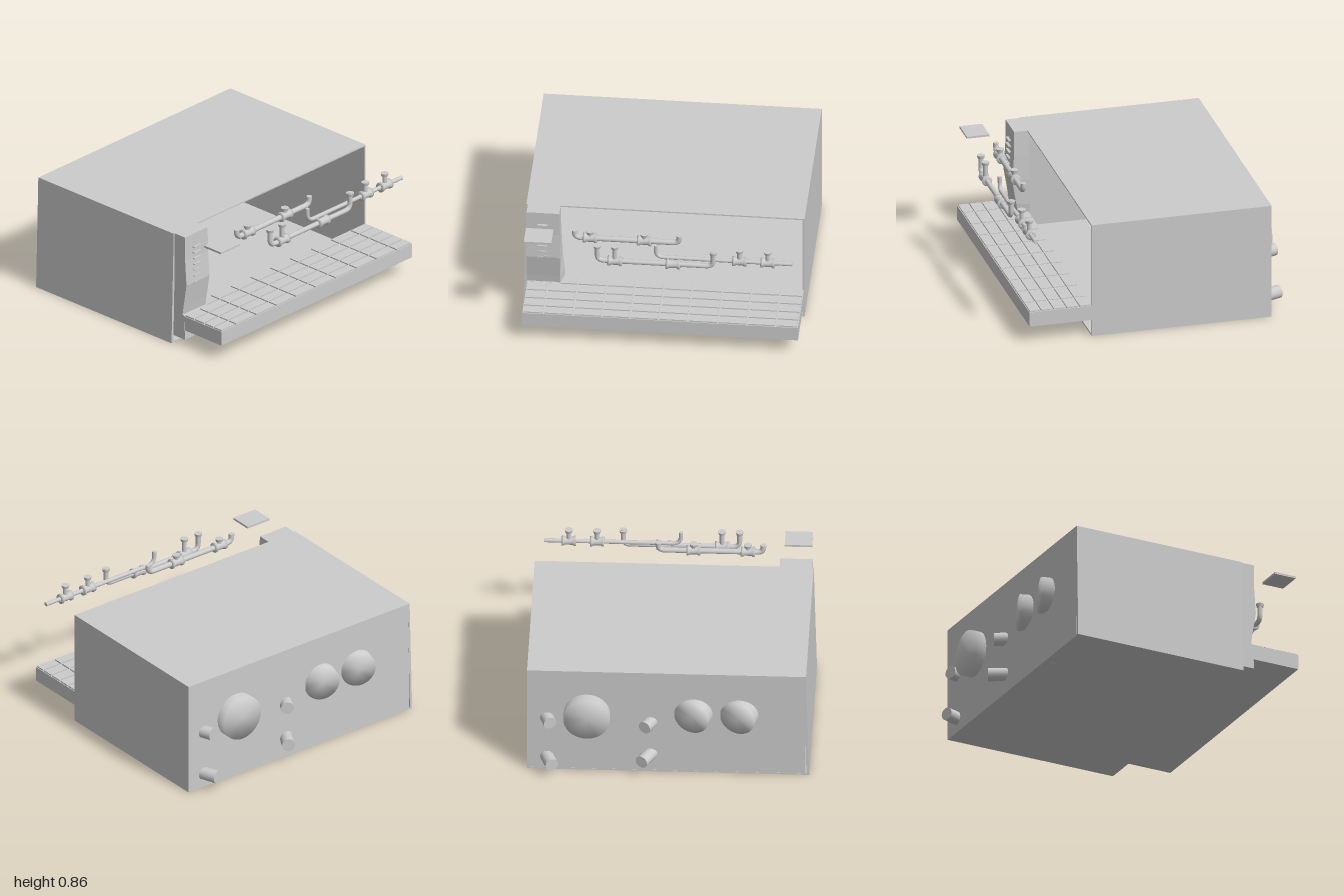
import * as THREE from 'three';

const grey = new THREE.MeshStandardMaterial({ color: 0xcccccc, side: THREE.DoubleSide });
const V = (x, y, z) => new THREE.Vector3(x, y, z);

function add(parent, name, geometry, x = 0, y = 0, z = 0) {
  const mesh = new THREE.Mesh(geometry, grey);
  mesh.name = name;
  mesh.position.set(x, y, z);
  parent.add(mesh);
  return mesh;
}

// Box given by its limits on each axis
function block(parent, name, x0, x1, y0, y1, z0, z1) {
  return add(parent, name, new THREE.BoxGeometry(x1 - x0, y1 - y0, z1 - z0),
    (x0 + x1) / 2, (y0 + y1) / 2, (z0 + z1) / 2);
}

// Lathe from [radius, height] pairs
const lathe = (pts, sides = 32) =>
  new THREE.LatheGeometry(pts.map(([r, h]) => new THREE.Vector2(r, h)), sides);

// Capped tube through points with rounded corners
function pipe(parent, name, pts, radius, bend) {
  const path = new THREE.CurvePath();
  let last = pts[0];
  for (let i = 1; i < pts.length - 1; i++) {
    const p = pts[i];
    const before = p.clone().add(pts[i - 1].clone().sub(p).setLength(bend));
    const after = p.clone().add(pts[i + 1].clone().sub(p).setLength(bend));
    path.add(new THREE.LineCurve3(last, before));
    path.add(new THREE.QuadraticBezierCurve3(before, p, after));
    last = after;
  }
  path.add(new THREE.LineCurve3(last, pts[pts.length - 1]));
  add(parent, name, new THREE.TubeGeometry(path, 90, radius, 16));
  for (const [end, inner] of [[pts[0], pts[1]], [pts.at(-1), pts.at(-2)]]) {
    const cap = add(parent, name + 'End', new THREE.CircleGeometry(radius, 16), end.x, end.y, end.z);
    cap.lookAt(end.clone().multiplyScalar(2).sub(inner));
  }
}

// Vent drum with its open front at z = 0, a rim and a barred grille
function vent(parent, x, y, z, r, inner, length, turn) {
  const g = new THREE.Group();
  g.name = 'ventFan';
  g.position.set(x, y, z);
  g.rotation.y = turn;
  parent.add(g);
  const parts = {
    ventDrum: [[0, -length], [r, -length], [r, 0]],
    ventRim: [[r, 0], [r - 0.008, 0.006], [inner, 0.006]],
    ventBore: [[inner, 0.006], [inner, 0.02 - length]],
    ventBack: [[inner, 0.02 - length], [0, 0.02 - length]],
  };
  for (const name in parts) add(g, name, lathe(parts[name], 40)).rotation.x = Math.PI / 2;
  for (const f of [-0.6, -0.2, 0.2, 0.6]) {
    const len = 2 * inner * Math.sqrt(1 - f * f);
    add(g, 'grilleBar', new THREE.BoxGeometry(0.01, len, 0.012), f * inner, 0, -0.012);
    add(g, 'grilleBar', new THREE.BoxGeometry(len, 0.01, 0.012), 0, f * inner, -0.012);
  }
}

// Valve body along x, with an optional upright stub and flange
function valve(parent, x, y, z, top) {
  const body = lathe([[0.018, -0.05], [0.037, -0.05], [0.037, -0.036], [0.029, -0.025],
    [0.029, 0.025], [0.037, 0.036], [0.037, 0.05], [0.018, 0.05]], 16);
  add(parent, 'valveBody', body, x, y, z).rotation.z = Math.PI / 2;
  if (!top) return;
  add(parent, 'valveStem', new THREE.CylinderGeometry(0.017, 0.017, top - y, 16), x, (top + y) / 2, z);
  flange(parent, x, top - 0.01, z);
}

function flange(parent, x, y, z) {
  add(parent, 'pipeFlange', new THREE.CylinderGeometry(0.029, 0.024, 0.022, 16), x, y, z);
}

export function createModel() {
  const model = new THREE.Group();
  model.name = 'serviceRoom';

  // Room shell, open at the front, left wall leaning slightly
  const outline = new THREE.Shape([[-1, 0], [1, 0], [1, 0.855], [-0.977, 0.855]]
    .map(([x, y]) => new THREE.Vector2(x, y)));
  outline.holes.push(new THREE.Path([[-0.98, 0.012], [-0.962, 0.845], [0.985, 0.845], [0.985, 0.012]]
    .map(([x, y]) => new THREE.Vector2(x, y))));
  add(model, 'roomShell', new THREE.ExtrudeGeometry(outline, { depth: 1.32, bevelEnabled: false }), 0, 0, -0.83);
  block(model, 'backWall', -0.972, 0.99, 0.005, 0.85, -0.829, -0.815);
  block(model, 'wallSkirting', -0.97, 0.985, 0.25, 0.28, -0.815, -0.805);

  // Walkway slab with raised tiles
  const deck = new THREE.Group();
  deck.name = 'walkway';
  model.add(deck);
  block(deck, 'walkwaySlab', -0.965, 0.995, 0.122, 0.23, 0.485, 0.945);
  const columns = [-0.965, -0.815, -0.605, -0.4, -0.2, 0.005, 0.21, 0.425, 0.63, 0.835, 0.995];
  const rows = [0.49, 0.58, 0.675, 0.77, 0.862, 0.945];
  for (let i = 0; i < columns.length - 1; i++) {
    for (let j = 0; j < rows.length - 1; j++) {
      block(deck, 'walkwayTile', columns[i] + 0.006, columns[i + 1] - 0.006,
        0.228, 0.24, rows[j] + 0.006, rows[j + 1] - 0.006);
    }
  }

  // Pillar: a box whose front and inner side bulge with height
  const levels = [[0.05, 0.59, -0.73], [0.235, 0.585, -0.73], [0.24, 0.567, -0.705], [0.3, 0.575, -0.705],
    [0.48, 0.605, -0.722], [0.67, 0.592, -0.73], [0.855, 0.59, -0.735]];
  const pillar = new THREE.BoxGeometry(1, 1, 1, 1, levels.length - 1, 1).toNonIndexed();
  const pos = pillar.attributes.position;
  for (let i = 0; i < pos.count; i++) {
    const [y, front, side] = levels[Math.round((pos.getY(i) + 0.5) * (levels.length - 1))];
    const isFront = pos.getZ(i) > 0;
    const right = isFront ? Math.min(side, -0.73) : side;
    pos.setXYZ(i, pos.getX(i) > 0 ? right : -0.967, y, isFront ? front : 0.48);
  }
  pillar.computeVertexNormals();
  add(model, 'pillar', pillar);
  for (let i = 0; i < 7; i++) {
    const slot = add(model, 'pillarLouvre', new THREE.BoxGeometry(0.072, 0.008, 0.03), -0.853, 0.485 + i * 0.045, 0.595);
    slot.rotation.z = i === 0 ? 0.2 : 0;
  }

  // Floating plate above the walkway
  block(model, 'overheadPlate', -0.955, -0.76, 0.832, 0.847, 0.765, 0.93);

  // Vent drums through the back wall
  vent(model, -0.565, 0.505, -0.64, 0.13, 0.1, 0.24, -0.315);
  vent(model, -0.24, 0.505, -0.64, 0.13, 0.1, 0.24, -0.315);
  vent(model, 0.575, 0.49, -0.76, 0.165, 0.128, 0.145, 0);

  // Wall pipes: out of the wall, down, and back through it
  for (const [x, dx, high, low] of [[0.095, 0.09, 0.425, 0.15], [0.88, -0.06, 0.445, 0.108]]) {
    pipe(model, 'wallPipe', [V(x + dx * 0.78, high, -0.895), V(x, high, -0.768),
      V(x, low, -0.768), V(x + dx, low, -0.932)], 0.047, 0.06);
  }

  // Overhead pipe runs with valves
  const runs = new THREE.Group();
  runs.name = 'overheadPipes';
  model.add(runs);
  pipe(runs, 'rearPipe', [V(-0.61, 0.847, 0.757), V(-0.61, 0.785, 0.757),
    V(0.135, 0.785, 0.757), V(0.135, 0.847, 0.757)], 0.02, 0.045);
  pipe(runs, 'lowerPipe', [V(-0.435, 0.84, 0.915), V(-0.435, 0.712, 0.915),
    V(0.39, 0.712, 0.915), V(0.39, 0.84, 0.915)], 0.018, 0.05);
  pipe(runs, 'middlePipe', [V(-0.02, 0.847, 0.888), V(-0.02, 0.748, 0.888),
    V(0.95, 0.748, 0.888)], 0.015, 0.06);
  flange(runs, -0.435, 0.83, 0.915);
  flange(runs, 0.39, 0.825, 0.915);
  valve(runs, -0.5, 0.785, 0.757, 0.845);
  valve(runs, -0.115, 0.785, 0.757, 0.845);
  valve(runs, -0.31, 0.712, 0.915, 0.84);
  valve(runs, 0.105, 0.712, 0.915);
  valve(runs, 0.575, 0.748, 0.888, 0.845);
  valve(runs, 0.775, 0.748, 0.888, 0.845);

  return model;
}
